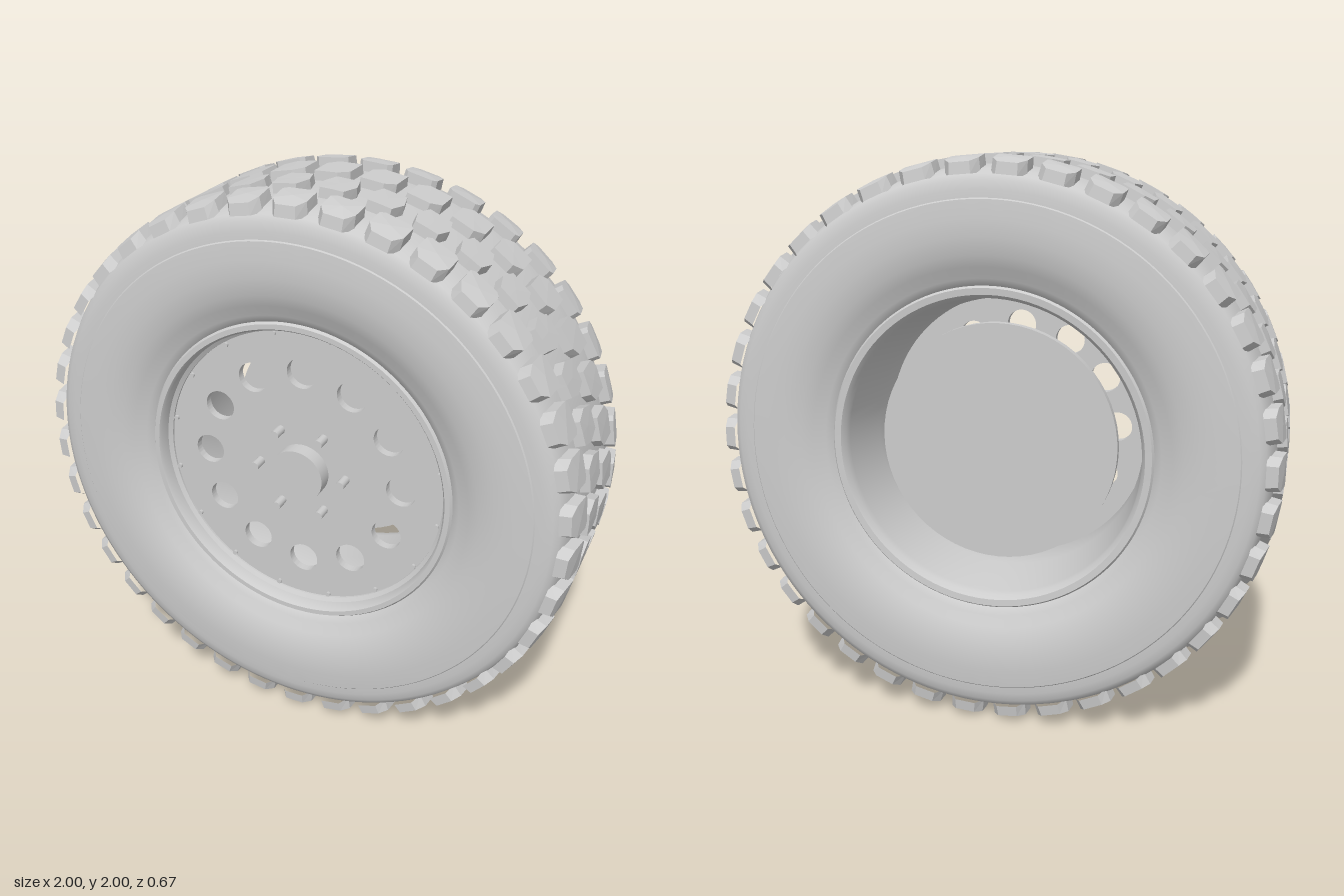
import * as THREE from 'three';
import { toCreasedNormals } from 'three/addons/utils/BufferGeometryUtils.js';

const CREASE = 0.6;
const BLOCKS = 38;
const V = (p) => new THREE.Vector2(p[0], p[1]);

// Revolve (radius, z) points around the z axis
function revolve(points, segments = 96) {
  const g = new THREE.LatheGeometry(points.map(V), segments);
  g.rotateX(Math.PI / 2);
  return toCreasedNormals(g, CREASE);
}

// Solid disc facing +z, spanning back to front
function disc(radius, back, front, segments = 64) {
  const g = new THREE.CylinderGeometry(radius, radius, front - back, segments);
  g.rotateX(Math.PI / 2);
  g.translate(0, 0, (front + back) / 2);
  return g;
}

// Tapered tread block wrapped on the tyre; outline is [around, across] pairs
function treadBlock(outline, zMid) {
  const topRadius = (z) => 1 - 0.022 * Math.pow(Math.max(0, Math.abs(z) - 0.2) / 0.12, 2);
  const place = ([c, dz], scale, base) => {
    const z = zMid + dz * scale;
    const r = base ? 0.94 : topRadius(z);
    const a = c * scale;
    return [r * Math.sin(a), r * Math.cos(a), z];
  };
  const pos = [];
  const n = outline.length;
  const mid = place([0, 0], 1, false);
  for (let i = 0; i < n; i++) {
    const p = outline[i], q = outline[(i + 1) % n];
    const b0 = place(p, 1.08, true), b1 = place(q, 1.08, true);
    const t0 = place(p, 0.98, false), t1 = place(q, 0.98, false);
    pos.push(...mid, ...t0, ...t1, ...b0, ...b1, ...t1, ...b0, ...t1, ...t0);
  }
  const g = new THREE.BufferGeometry();
  g.setAttribute('position', new THREE.Float32BufferAttribute(pos, 3));
  g.computeVertexNormals();
  return g;
}

export function createModel() {
  const model = new THREE.Group();
  model.name = 'wheel';
  const grey = new THREE.MeshStandardMaterial({ color: 0xcccccc });
  grey.name = 'plain grey';

  const wheel = new THREE.Group();
  wheel.name = 'wheelAssembly';
  wheel.position.y = 1;
  model.add(wheel);

  const add = (name, geometry, parent = wheel) => {
    const m = new THREE.Mesh(geometry, grey);
    m.name = name;
    parent.add(m);
    return m;
  };
  const ring = (name, geometry, count, radius, offset = 0) => {
    const group = new THREE.Group();
    group.name = name + 's';
    wheel.add(group);
    for (let i = 0; i < count; i++) {
      const a = ((i + offset) / count) * Math.PI * 2;
      add(name, geometry, group).position.set(radius * Math.cos(a), radius * Math.sin(a), 0);
    }
  };

  // Tyre carcass: half section mirrored front to back
  const half = [
    [0.968, 0], [0.967, 0.15], [0.963, 0.22], [0.954, 0.275], [0.94, 0.303], [0.92, 0.315],
    [0.89, 0.321], [0.864, 0.323], [0.86, 0.327], [0.8, 0.333], [0.74, 0.332], [0.68, 0.322],
    [0.64, 0.306], [0.615, 0.292], [0.6, 0.286], [0.575, 0.273], [0.56, 0.25],
  ];
  const back = half.slice(1).reverse().map(([r, z]) => [r, -z]);
  add('tyre', revolve([...back, ...half], 128));

  // Rim barrel with front and rear flanges
  add('rim', revolve([
    [0.545, -0.28], [0.568, -0.282], [0.578, -0.268], [0.565, -0.235], [0.535, -0.19],
    [0.535, 0.2], [0.565, 0.235], [0.578, 0.268], [0.568, 0.282], [0.55, 0.282],
    [0.543, 0.272], [0.54, 0.235], [0.526, 0.225], [0.524, 0.19], [0.515, 0.16],
    [0.5, 0.12], [0.502, -0.02], [0.528, -0.235], [0.532, -0.262], [0.545, -0.28],
  ]));

  // Face plate with twelve round holes
  const plate = new THREE.Shape();
  plate.absarc(0, 0, 0.528, 0, Math.PI * 2, false);
  for (let i = 0; i < 12; i++) {
    const a = (i / 12) * Math.PI * 2;
    const hole = new THREE.Path();
    hole.absarc(0.372 * Math.cos(a), 0.372 * Math.sin(a), 0.055, 0, Math.PI * 2, true);
    plate.holes.push(hole);
  }
  const plateGeometry = new THREE.ExtrudeGeometry(plate, {
    depth: 0.03, bevelEnabled: false, curveSegments: 32,
  });
  plateGeometry.translate(0, 0, 0.188);
  add('facePlate', toCreasedNormals(plateGeometry, CREASE));

  // Hub, wheel studs and small rim bolts
  add('hubCap', disc(0.1, 0.19, 0.275));
  add('hub', disc(0.1, -0.13, 0.19));
  add('brakeDisc', disc(0.43, -0.15, -0.12));
  ring('wheelStud', disc(0.016, 0.2, 0.27, 12), 6, 0.165);
  ring('rimBolt', disc(0.009, 0.2, 0.228, 8), 16, 0.515, 0.5);

  // Four tread rows, alternately staggered by half a pitch
  const shoulder = (s) => {
    const pts = [[0.036, 0.06], [0.06, 0.025], [0.06, -0.045], [0.045, -0.06], [-0.045, -0.06], [-0.06, -0.045], [-0.06, 0.025], [-0.036, 0.06]];
    return s > 0 ? pts : pts.map(([c, z]) => [c, -z]).reverse();
  };
  const rows = [
    { z: 0.258, shift: 0, outline: shoulder(1) },
    { z: 0.09, shift: 0.5, outline: [[0, 0.068], [0.042, 0.068], [0.06, 0], [0.042, -0.068], [-0.042, -0.068], [-0.06, 0], [-0.042, 0.068]] },
    { z: -0.083, shift: 0, outline: [[0.025, 0.068], [0.059, 0.035], [0.059, -0.068], [-0.025, -0.068], [-0.059, -0.035], [-0.059, 0.068]] },
    { z: -0.258, shift: 0.5, outline: shoulder(-1) },
  ];
  rows.forEach(({ z, shift, outline }, r) => {
    const row = new THREE.Group();
    row.name = 'treadRow' + (r + 1);
    wheel.add(row);
    const geometry = treadBlock(outline, z);
    for (let i = 0; i < BLOCKS; i++) {
      add('treadBlock', geometry, row).rotation.z = ((i + shift) / BLOCKS) * Math.PI * 2;
    }
  });

  return model;
}
